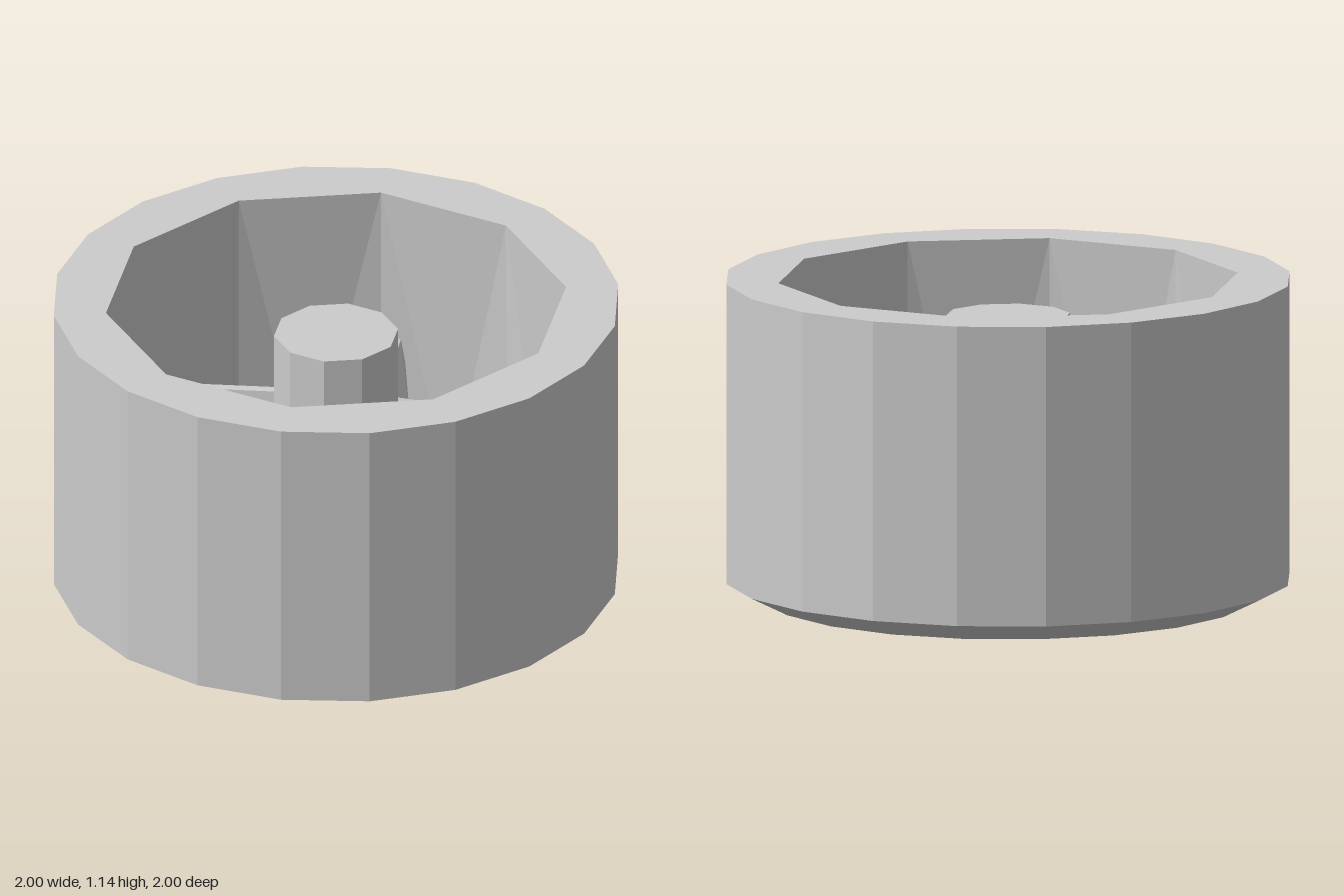
import * as THREE from 'three';

const material = new THREE.MeshStandardMaterial({ color: 0xcccccc, flatShading: true });

function mesh(name, geometry) {
  const flat = geometry.index ? geometry.toNonIndexed() : geometry;
  flat.computeVertexNormals();
  const m = new THREE.Mesh(flat, material);
  m.name = name;
  return m;
}

function fromTriangles(triangles) {
  const g = new THREE.BufferGeometry();
  g.setAttribute('position', new THREE.Float32BufferAttribute(triangles.flat(2), 3));
  return g;
}

function lathe(profile, sides) {
  return new THREE.LatheGeometry(profile.map(([r, y]) => new THREE.Vector2(r, y)), sides);
}

// Point on a circle, step counted in 18 degree steps from +z towards +x
function ringPoint(radius, y, step) {
  const a = step * Math.PI / 10;
  return [radius * Math.sin(a), y, radius * Math.cos(a)];
}

const HEIGHT = 1.14, BORE_TOP = 0.815, BORE_BOTTOM = 0.82;

// Inner wall: ten-sided at the top, twenty-sided at the bottom
function boreGeometry() {
  const tris = [];
  for (let k = 0; k < 20; k += 2) {
    const t0 = ringPoint(BORE_TOP, HEIGHT, k), t2 = ringPoint(BORE_TOP, HEIGHT, k + 2);
    const b0 = ringPoint(BORE_BOTTOM, 0, k), b1 = ringPoint(BORE_BOTTOM, 0, k + 1);
    const b2 = ringPoint(BORE_BOTTOM, 0, k + 2);
    tris.push([t0, b1, b0], [t0, t2, b1], [t2, b2, b1]);
  }
  return fromTriangles(tris);
}

// Outer barrel with a bevelled lower edge and a flat top ring
function barrelGeometry() {
  const profile = [[BORE_BOTTOM, 0], [0.86, 0], [1, 0.07], [1, HEIGHT], [BORE_TOP, HEIGHT]];
  const g = lathe(profile, 20);
  const p = g.attributes.position;
  // pull every second bore corner in onto the ten-sided opening
  for (let i = 1; i < 20; i += 2) {
    const v = i * profile.length + 4;
    p.setXYZ(v, ...ringPoint(BORE_TOP * Math.cos(Math.PI / 10), HEIGHT, i));
  }
  return g;
}

// One spoke bar along +z, lofted from the hub section to the rim section
function barGeometry(side) {
  const hub = [[0.09, 0.35, 0.18], [0.129, 0.35, 0.178], [0.21, 0.51, 0.29],
    [0.129, 0.68, 0.178], [0.09, 0.68, 0.18]];
  const rim = [[0.035, 0.06, 0.81], [0.075, 0.06, 0.8], [0.09, 0.48, 0.8],
    [0.075, 0.57, 0.8], [0.035, 0.57, 0.81]];
  const tris = [];
  hub.forEach((a, i) => {
    const j = (i + 1) % hub.length;
    tris.push([a, hub[j], rim[j]], [a, rim[j], rim[i]]);
  });
  const mirrored = tris.map(t => t.map(([x, y, z]) => [-x, y, z]).reverse());
  return fromTriangles(side > 0 ? tris : mirrored);
}

export function createModel() {
  const wheel = new THREE.Group();
  wheel.name = 'wheelRim';

  wheel.add(mesh('barrel', barrelGeometry()));
  wheel.add(mesh('barrelInnerWall', boreGeometry()));

  // Hub with a shallow pointed underside
  wheel.add(mesh('hub', lathe([[0, 0.335], [0.22, 0.36], [0.22, 1.01], [0, 1.01]], 10)));

  // Five twin-bar spokes
  for (let k = 0; k < 5; k++) {
    const spoke = new THREE.Group();
    spoke.name = 'spoke';
    for (const side of [1, -1]) {
      spoke.add(mesh(side > 0 ? 'spokeBarLeft' : 'spokeBarRight', barGeometry(side)));
    }
    spoke.rotation.y = k * Math.PI * 2 / 5;
    wheel.add(spoke);
  }
  return wheel;
}
